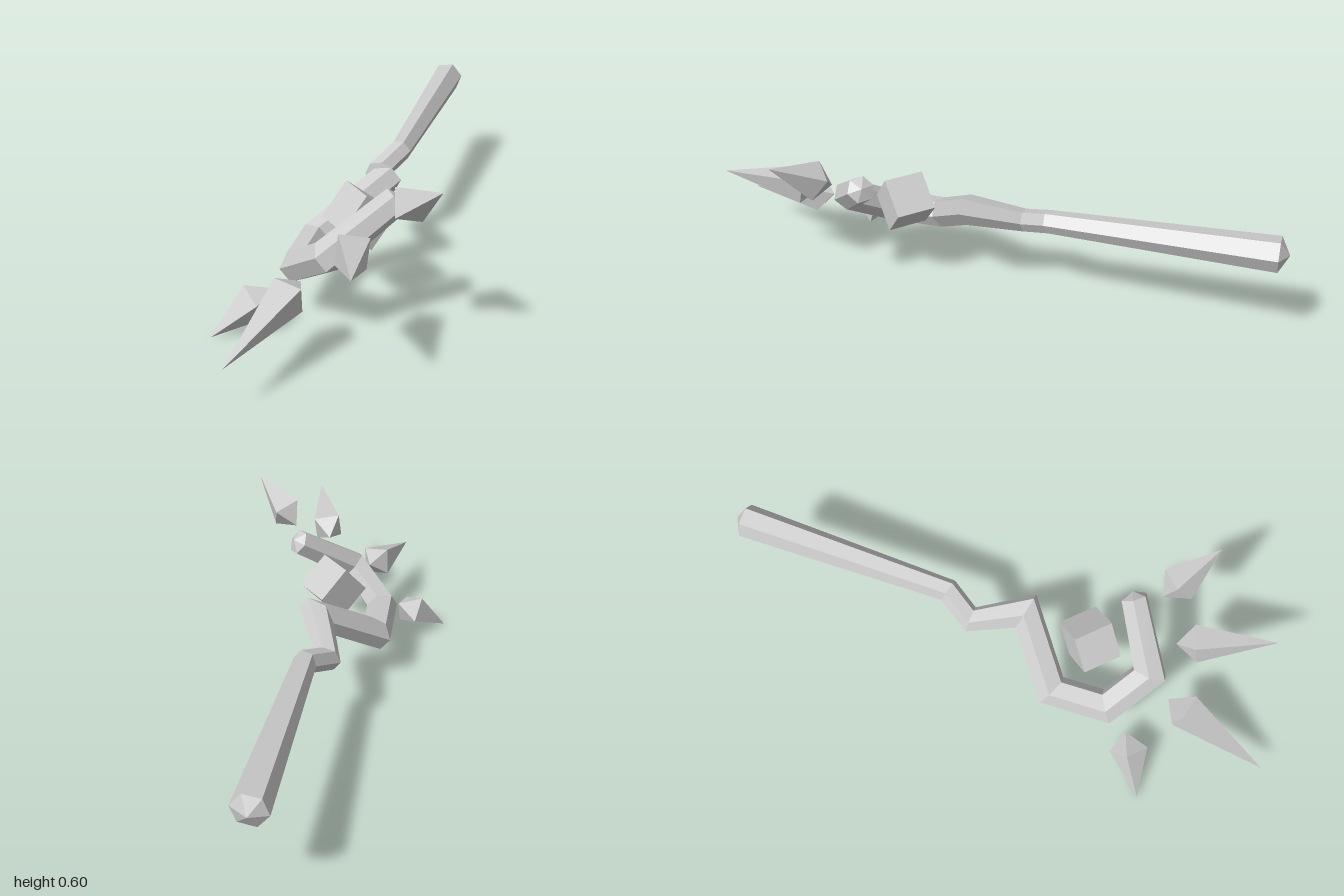
import * as THREE from 'three';

const material = new THREE.MeshStandardMaterial({ color: 0xcccccc, flatShading: true });

// Six-sided tube with mitred bends, lying in the local xz plane.
// Each path point is [x, z, radius]; a zero radius closes the end to a point.
function bentRod(path, sides = 6) {
  const centers = path.map(([x, z]) => new THREE.Vector2(x, z));
  const rings = path.map(([x, z, r], i) => {
    const before = centers[Math.max(i, 1)].clone().sub(centers[Math.max(i, 1) - 1]).normalize();
    const j = Math.min(i, path.length - 2);
    const after = centers[j + 1].clone().sub(centers[j]).normalize();
    const t = before.clone().add(after).normalize();
    const miter = 1 / t.dot(after);
    return Array.from({ length: sides }, (_, k) => {
      const a = (k / sides) * Math.PI * 2;
      const s = r * Math.sin(a) * miter;
      return [x - t.y * s, r * Math.cos(a), z + t.x * s];
    });
  });
  const points = [];
  for (let i = 0; i < rings.length - 1; i++) {
    for (let k = 0; k < sides; k++) {
      const n = (k + 1) % sides;
      const [a, b, c, d] = [rings[i][k], rings[i][n], rings[i + 1][n], rings[i + 1][k]];
      if (path[i][2] > 0) points.push(...a, ...b, ...c);
      if (path[i + 1][2] > 0) points.push(...a, ...c, ...d);
    }
  }
  const geometry = new THREE.BufferGeometry();
  geometry.setAttribute('position', new THREE.Float32BufferAttribute(points, 3));
  geometry.computeVertexNormals();
  return geometry;
}

// Octahedron with one corner drawn out into a long tip.
function spikeGeometry(radius, length) {
  const geometry = new THREE.OctahedronGeometry(radius);
  const p = geometry.attributes.position;
  for (let i = 0; i < p.count; i++) {
    if (p.getY(i) > radius * 0.9) p.setY(i, length);
  }
  geometry.computeVertexNormals();
  return geometry;
}

function addMesh(parent, geometry, name) {
  const mesh = new THREE.Mesh(geometry, material);
  mesh.name = name;
  parent.add(mesh);
  return mesh;
}

export function createModel() {
  const model = new THREE.Group();
  model.name = 'staff';

  // The rod and its spikes share one tilted plane
  const tilted = new THREE.Group();
  tilted.name = 'tiltedStaff';
  tilted.position.y = 0.3;
  tilted.rotation.z = THREE.MathUtils.degToRad(39);
  model.add(tilted);

  // Handle, crooked neck and open hook
  addMesh(tilted, bentRod([
    [0.122, -1.0, 0],
    [0.12, -0.968, 0.06],
    [0.077, -0.21, 0.04],
    [-0.003, -0.11, 0.04],
    [0.082, 0.07, 0.053],
    [-0.171, 0.225, 0.055],
    [-0.173, 0.425, 0.055],
    [-0.01, 0.535, 0.055],
    [0.235, 0.411, 0.047],
    [0.254, 0.401, 0],
  ]), 'rod');

  // Floating spikes fanned around the hook: centre x, z then tip x, z
  const spikes = [
    [-0.306, 0.54, -0.475, 0.617],
    [-0.108, 0.683, -0.232, 0.992],
    [0.137, 0.655, 0.218, 0.912],
    [0.319, 0.54, 0.472, 0.643],
  ];
  spikes.forEach(([cx, cz, tx, tz], i) => {
    const axis = new THREE.Vector3(tx - cx, 0, tz - cz);
    const spike = addMesh(tilted, spikeGeometry(0.067, axis.length()), `spike${i + 1}`);
    axis.normalize();
    const up = new THREE.Vector3(0, 1, 0);
    const basis = new THREE.Matrix4().makeBasis(up, axis, up.clone().cross(axis));
    spike.quaternion.setFromRotationMatrix(basis);
    spike.position.set(cx, 0, cz);
  });

  // Tumbled cube held inside the hook
  const cube = addMesh(model, new THREE.BoxGeometry(0.138, 0.138, 0.138), 'floatingCube');
  const a = new THREE.Vector3(0.67, 0, 0.74).normalize();
  const c = a.clone().cross(new THREE.Vector3(0.48, 0.76, -0.43)).normalize();
  const b = c.clone().cross(a);
  cube.quaternion.setFromRotationMatrix(new THREE.Matrix4().makeBasis(a, b, c));
  cube.position.set(0.037, 0.331, 0.307);

  return model;
}
